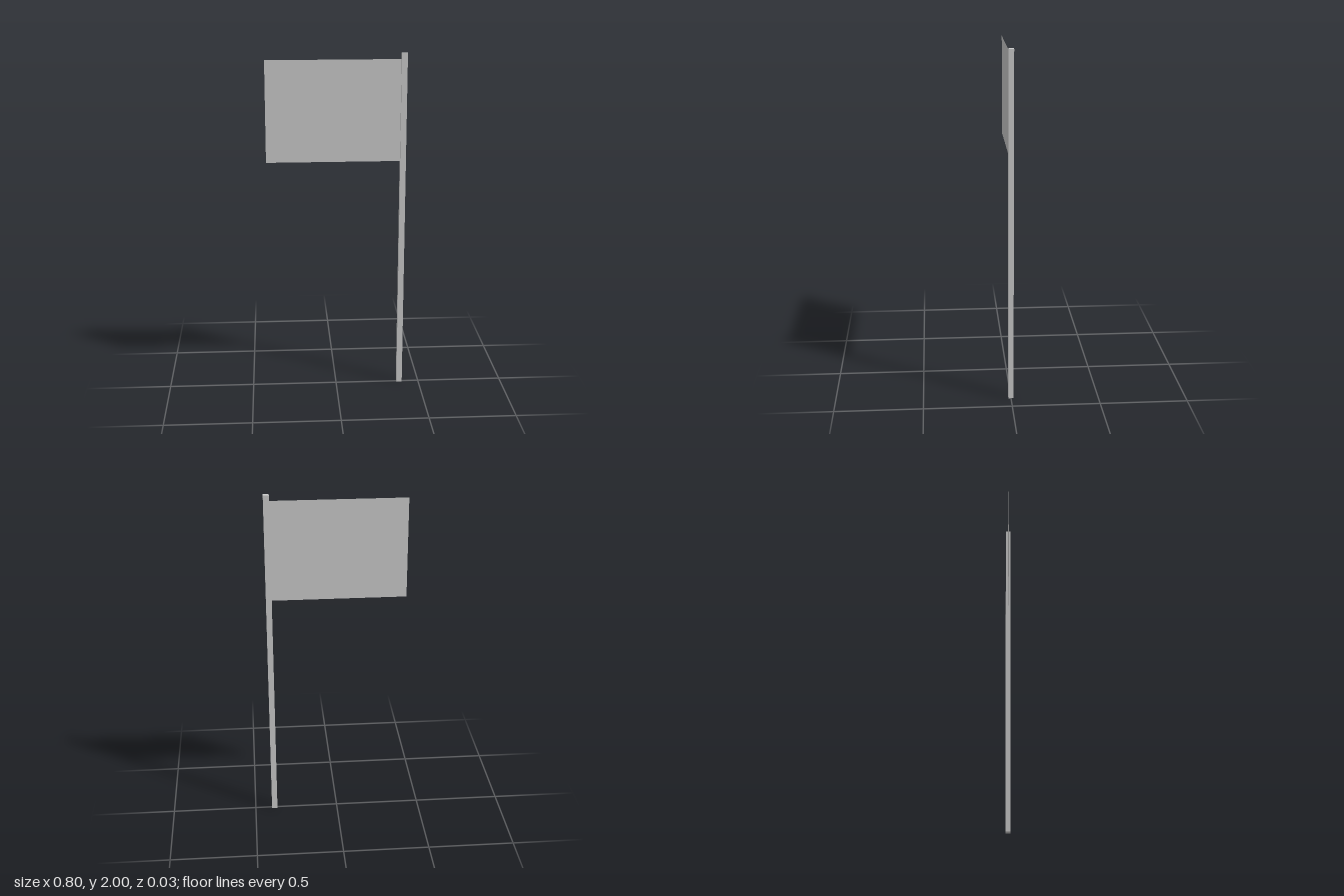
import * as THREE from 'three';

export function createModel() {
  const group = new THREE.Group();
  const grey = new THREE.MeshStandardMaterial({ color: 0xcccccc, flatShading: true });
  const cloth = new THREE.MeshStandardMaterial({ color: 0xcccccc, side: THREE.DoubleSide });

  const right = -0.4, left = 0.4; // overall extent in x
  const poleWidth = 0.033, poleDepth = 0.029, poleHeight = 2;

  // Square upright pole
  const pole = new THREE.Mesh(new THREE.BoxGeometry(poleWidth, poleHeight, poleDepth), grey);
  pole.name = 'pole';
  pole.position.set(left - poleWidth / 2, poleHeight / 2, 0);
  group.add(pole);

  // Flat sheet running from the pole's inner face
  const bottom = 1.38, top = 1.965, inner = left - poleWidth;
  const flag = new THREE.Mesh(new THREE.PlaneGeometry(inner - right, top - bottom), cloth);
  flag.name = 'flag';
  flag.position.set((inner + right) / 2, (top + bottom) / 2, 0);
  group.add(flag);

  return group;
}
